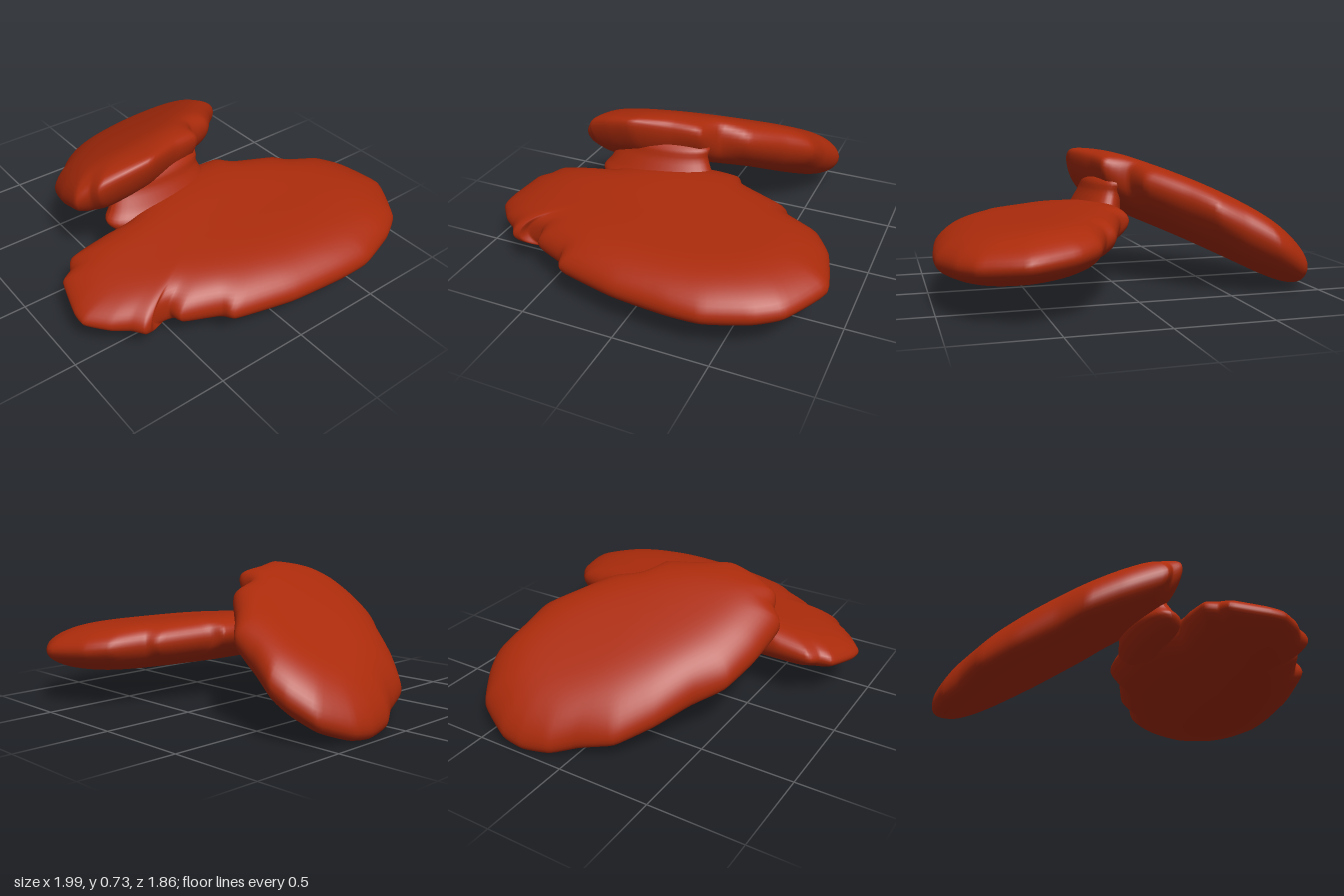
import * as THREE from 'three';

const material = new THREE.MeshStandardMaterial({ color: 0xab2b0b });

// Softens a closed loop of points by repeated averaging of neighbours
function soften(points, passes) {
  let loop = points;
  for (let s = 0; s < passes; s++) {
    loop = loop.map((p, i) => {
      const before = loop[(i + loop.length - 1) % loop.length], after = loop[(i + 1) % loop.length];
      return p.clone().multiplyScalar(2).add(before).add(after).divideScalar(4);
    });
  }
  return loop;
}

// Rounded slab: irregular outline in x/z (clockwise from above) shrinking in
// rings to a spine through the centre; power sets how blunt the rim is.
function slab(name, outline, centre, direction, { middle, half, power, rimLift }) {
  const curve = new THREE.CatmullRomCurve3(
    outline.map(([x, z]) => new THREE.Vector3(x, 0, z)), true, 'catmullrom', 0.2);
  const n = outline.length * 5, rings = 36;
  const rim = curve.getPoints(n).slice(0, n);
  const soft = soften(rim, 60);
  const c0 = new THREE.Vector3(centre[0], 0, centre[1]);
  const axis = new THREE.Vector3(direction[0], 0, direction[1]).normalize();
  const positions = [], index = [];
  for (let j = 0; j <= rings; j++) {
    const phi = Math.PI * j / rings;
    const r = Math.sin(phi);
    const h = Math.sign(Math.cos(phi)) * Math.sqrt(Math.max(0, 1 - r ** power));
    for (let i = 0; i < n; i++) {
      const along = soft[i].clone().sub(c0).dot(axis);
      const spine = c0.clone().addScaledVector(axis, along * 0.4);
      const edge = soft[i].clone().lerp(rim[i], r ** 6);
      const { x, z } = spine.lerp(edge, r);
      positions.push(x, middle(x, z) + h * half(z) + rimLift(x) * r ** 8, z);
    }
  }
  for (let j = 0; j < rings; j++) {
    for (let i = 0; i < n; i++) {
      const k = (i + 1) % n;
      const a = j * n + i, b = a + n, c = (j + 1) * n + k, d = j * n + k;
      index.push(a, c, b, a, d, c);
    }
  }
  const geometry = new THREE.BufferGeometry();
  geometry.setAttribute('position', new THREE.Float32BufferAttribute(positions, 3));
  geometry.setIndex(index);
  geometry.computeVertexNormals();
  const mesh = new THREE.Mesh(geometry, material);
  mesh.name = name;
  return mesh;
}

export function createModel() {
  const model = new THREE.Group();
  model.name = 'joinedSlabs';

  // Steep slab on the right side, rising towards the middle
  const steepOutline = [
    [-1, -0.25], [-0.99, -0.37], [-0.91, -0.54], [-0.79, -0.61], [-0.7, -0.63],
    [-0.55, -0.58], [-0.4, -0.55], [-0.28, -0.43], [-0.1, -0.27], [-0.06, -0.12],
    [0.07, -0.06], [0.1, 0.1], [0.17, 0.3], [0.15, 0.45], [0.11, 0.58],
    [0.05, 0.6], [0, 0.66], [-0.2, 0.63], [-0.38, 0.57], [-0.5, 0.46],
    [-0.68, 0.34], [-0.83, 0.2], [-0.9, 0.02], [-0.97, -0.1],
  ];
  model.add(slab('steepSlab', steepOutline, [-0.42, 0], [0.68, 0.73], {
    middle: (x, z) => 0.39 + 0.53 * (x + 0.42) - 0.12 * (x + 0.42) ** 2
      - 0.06 * z - 0.1 * Math.max(0, z) ** 2,
    half: () => 0.15,
    power: 5,
    rimLift: (x) => 0.3 * Math.max(0, x),
  }));

  // Long, nearly level slab on the left side
  const levelOutline = [
    [0.62, -0.93], [0.39, -0.87], [0.27, -0.78], [0.2, -0.61], [0.14, -0.57],
    [0.04, -0.3], [-0.02, -0.26], [-0.03, -0.14], [-0.02, 0.1], [0.04, 0.3],
    [0.13, 0.45], [0.12, 0.6], [0.13, 0.78], [0.19, 0.82], [0.22, 0.88],
    [0.4, 0.93], [0.48, 0.93], [0.58, 0.85], [0.64, 0.77], [0.7, 0.73],
    [0.7, 0.69], [0.66, 0.66], [0.67, 0.57], [0.74, 0.55], [0.82, 0.37],
    [0.88, 0.34], [0.96, 0.03], [0.99, -0.28], [0.99, -0.45], [0.92, -0.67],
    [0.84, -0.8],
  ].reverse();
  model.add(slab('levelSlab', levelOutline, [0.5, 0], [-0.1, 1], {
    middle: (x, z) => 0.28 - 0.09 * (x - 0.5) + 0.15 * Math.min(0, x - 0.5) ** 2
      - 0.02 * z - 0.06 * Math.max(0, z) ** 2,
    half: (z) => 0.133 - 0.05 * Math.max(0, z) ** 2,
    power: 4.5,
    rimLift: () => 0,
  }));

  // Waisted neck where the slabs meet, leaning towards the steep slab
  const profile = [[0, 0.24], [0.1, 0.29], [0.135, 0.36], [0.12, 0.42],
    [0.105, 0.5], [0.1, 0.57], [0, 0.63]];
  const neckCurve = new THREE.SplineCurve(profile.map(([r, y]) => new THREE.Vector2(r, y)));
  const neckGeometry = new THREE.LatheGeometry(neckCurve.getPoints(24), 40);
  neckGeometry.scale(1, 1, 2.5);
  const points = neckGeometry.attributes.position;
  for (let i = 0; i < points.count; i++) {
    points.setX(i, points.getX(i) + 0.02 + 0.35 * (0.5 - points.getY(i)));
  }
  neckGeometry.computeVertexNormals();
  const neck = new THREE.Mesh(neckGeometry, material);
  neck.name = 'neck';
  neck.position.z = 0.18;
  model.add(neck);

  return model;
}
